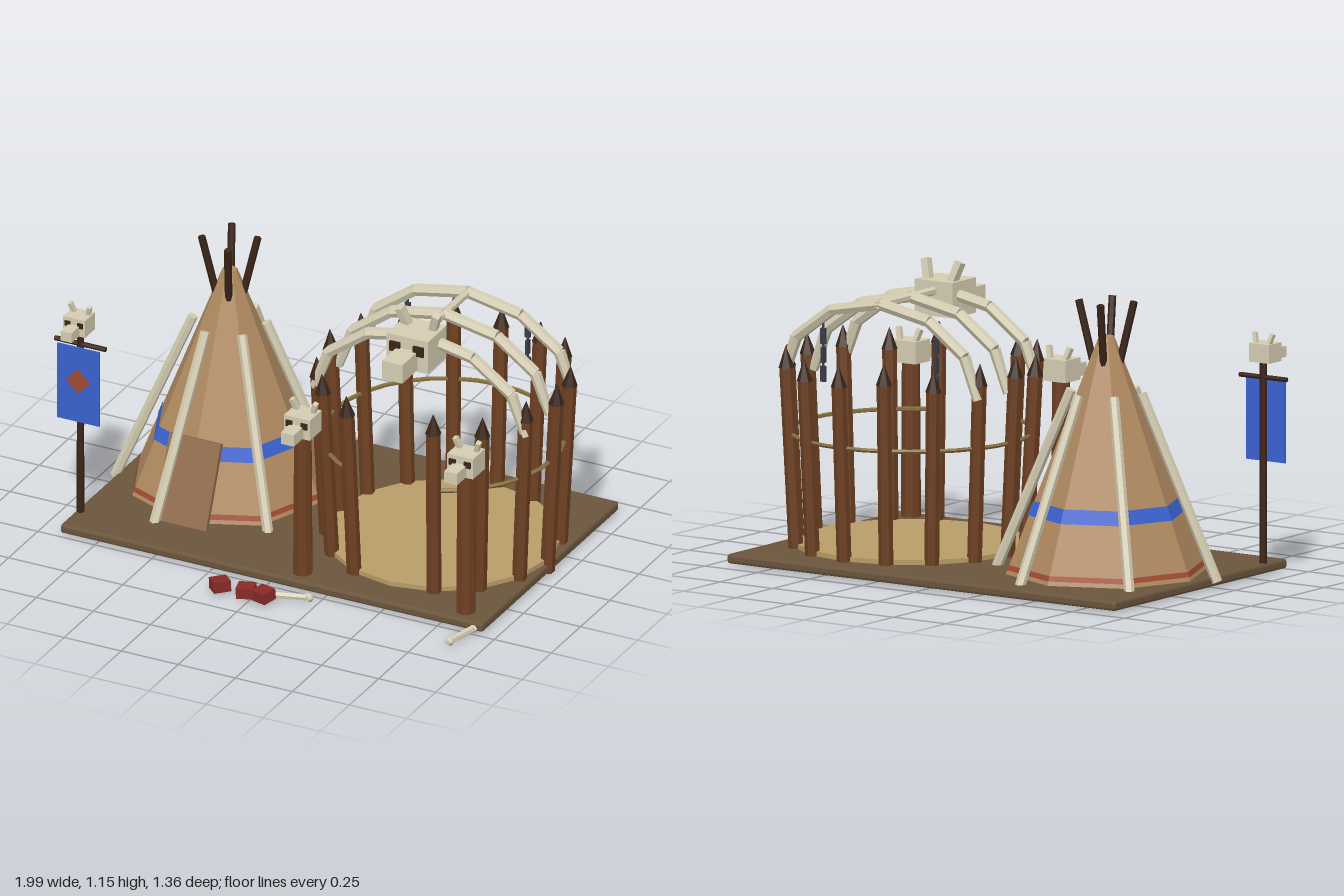
import * as THREE from 'three';
import { RoundedBoxGeometry } from 'three/addons/geometries/RoundedBoxGeometry.js';

const mat = (color) => new THREE.MeshStandardMaterial({ color, flatShading: true });
const M = {
  earth: mat(0x6b553c), sand: mat(0xb89c68), hide: mat(0xb08a60), flap: mat(0x8f6a4a),
  bone: mat(0xd4ccb2), wood: mat(0x6e4022), dark: mat(0x3a2418), blue: mat(0x3a62d0),
  rust: mat(0xa04a30), red: mat(0x862a28), rope: mat(0x86703f), iron: mat(0x3c3c46),
};
const V = (x, y, z) => new THREE.Vector3(x, y, z);
const UP = V(0, 1, 0);

export function createModel() {
  const root = new THREE.Group();

  function add(name, geo, material, pos = V(0, 0, 0), parent = root) {
    const m = new THREE.Mesh(geo, material);
    m.name = name;
    m.position.copy(pos);
    parent.add(m);
    return m;
  }
  const box = (name, w, h, d, material, pos, parent) =>
    add(name, new THREE.BoxGeometry(w, h, d), material, pos, parent);

  // Tapered rod between two points
  function rod(name, a, b, ra, rb, material, sides = 6, parent = root) {
    const dir = b.clone().sub(a);
    const m = add(name, new THREE.CylinderGeometry(rb, ra, dir.length(), sides), material,
      a.clone().add(b).multiplyScalar(0.5), parent);
    m.quaternion.setFromUnitVectors(UP, dir.normalize());
    return m;
  }
  function group(name, pos = V(0, 0, 0)) {
    const g = new THREE.Group();
    g.name = name;
    g.position.copy(pos);
    root.add(g);
    return g;
  }

  // Ground slab and sand floor
  add('base', new RoundedBoxGeometry(1.85, 0.038, 1.17, 1, 0.01), M.earth, V(0.015, 0.029, -0.1));
  const C = V(0.47, 0, -0.1);
  add('sandFloor', new THREE.CylinderGeometry(0.46, 0.46, 0.03, 16), M.sand, V(C.x, 0.052, C.z));

  // Tent: eight-sided hide cone with painted bands
  const tent = group('tent', V(-0.49, 0, -0.145));
  const y0 = 0.045, y1 = 0.98, r0 = 0.4, r1 = 0.03;
  const coneR = (y) => r0 + (r1 - r0) * (y - y0) / (y1 - y0);
  add('tentHide', new THREE.CylinderGeometry(r1, r0, y1 - y0, 8), M.hide, V(0, (y0 + y1) / 2, 0), tent);
  for (const [name, a, b, m] of [['blueBand', 0.28, 0.335, M.blue], ['redBand', 0.065, 0.085, M.rust]]) {
    add(name, new THREE.CylinderGeometry(coneR(b) + 0.005, coneR(a) + 0.005, b - a, 8, 1, true), m,
      V(0, (a + b) / 2, 0), tent);
  }
  const flap = box('doorFlap', 0.225, 0.35, 0.02, M.flap, V(0, 0.205, 0.35), tent);
  flap.rotation.x = -Math.atan((r0 - r1) / (y1 - y0));
  // Dark poles through the smoke hole
  for (const [x, z] of [[-0.1, 0.045], [-0.045, -0.105], [0.1, -0.045], [0.045, 0.105]]) {
    rod('tentPole', V(x * 0.45, 0.86, z * 0.45), V(x, 1.12, z), 0.015, 0.015, M.dark, 6, tent);
  }
  // Bones leaning against the hide
  for (let i = 0; i < 6; i++) {
    const a = THREE.MathUtils.degToRad(43.5 + 60 * i), c = Math.cos(a), s = Math.sin(a);
    rod('leaningBone', V(c * 0.455, 0.03, s * 0.455), V(c * 0.145, 0.76, s * 0.145), 0.021, 0.02, M.bone, 6, tent);
  }

  // Palisade of sharpened stakes, open at the front
  for (let i = 1; i < 16; i++) {
    const a = (i / 16) * Math.PI * 2, s = Math.sin(a), c = Math.cos(a);
    const h = 0.835 + 0.015 * Math.sin(i * 2.3);
    const at = (y) => { const r = 0.455 + 0.043 * y / 0.84; return V(C.x + s * r, y, C.z + c * r); };
    rod('stake', at(0.01), at(h - 0.085), 0.029, 0.029, M.wood);
    rod('stakeTip', at(h - 0.085), at(h), 0.032, 0.001, M.dark);
  }
  // Rope tied around the stakes
  const gap = Math.PI / 8;
  const rope = add('rope', new THREE.TorusGeometry(0.475, 0.009, 5, 28, Math.PI * 2 - 2 * gap), M.rope, V(C.x, 0.5, C.z));
  rope.rotation.set(-Math.PI / 2, 0, -Math.PI / 2 + gap);

  // Rib arches and the ridge bone
  for (const z of [0.1, -0.105, -0.31]) {
    const pt = (k) => {
      const a = k * Math.PI / 6;
      return V(C.x + 0.462 * Math.cos(a), 0.695 + 0.335 * Math.sin(a), z);
    };
    for (let k = 0; k < 6; k++) {
      const tip = k === 0 ? 0.019 : 0.024, end = k === 5 ? 0.019 : 0.024;
      rod('ribArch', pt(k), pt(k + 1), tip, end, M.bone);
    }
  }
  rod('ridgeBone', V(C.x, 1.03, 0.12), V(C.x, 1.03, -0.33), 0.017, 0.017, M.bone);

  // Hanging chains
  for (const [x, z] of [[0.205, -0.31], [0.7, -0.37]]) {
    const chain = group('chain', V(x, 0, z));
    rod('chainCore', V(0, 0.71, 0), V(0, 0.94, 0), 0.005, 0.005, M.iron, 5, chain);
    [0.89, 0.815, 0.74].forEach((y, i) => {
      box('chainLink', i % 2 ? 0.012 : 0.022, 0.062, i % 2 ? 0.022 : 0.014, M.iron, V(0, y, 0), chain);
    });
  }

  // Horned skull, built at full size and scaled
  function skull(pos, size) {
    const g = group('skull', pos);
    g.scale.setScalar(size);
    box('cranium', 0.18, 0.14, 0.16, M.bone, V(0, 0, 0), g);
    box('snout', 0.09, 0.08, 0.13, M.bone, V(0, -0.022, 0.145), g);
    for (const s of [-1, 1]) {
      box('eye', 0.045, 0.04, 0.02, M.dark, V(s * 0.052, 0.022, 0.082), g);
      const horn = box('horn', 0.03, 0.09, 0.035, M.bone, V(s * 0.068, 0.1, -0.025), g);
      horn.rotation.set(0.25, 0, -s * 0.3);
    }
  }
  skull(V(C.x, 1.0, 0.13), 1);

  // Gate posts with skulls
  for (const x of [0.115, 0.83]) {
    rod('gatePost', V(x, 0.02, 0.41), V(x, 0.67, 0.41), 0.04, 0.036, M.wood, 8);
    skull(V(x, 0.705, 0.41), 0.63);
  }

  // Banner on a pole
  const bx = -0.89, bz = 0.35;
  rod('bannerPole', V(bx, 0.03, bz), V(bx, 0.85, bz), 0.015, 0.014, M.dark);
  rod('bannerCrossbar', V(bx - 0.112, 0.785, bz), V(bx + 0.112, 0.785, bz), 0.01, 0.01, M.dark);
  box('bannerCloth', 0.185, 0.325, 0.008, M.blue, V(bx, 0.613, bz + 0.017));
  box('bannerDiamond', 0.073, 0.073, 0.006, M.rust, V(bx, 0.63, bz + 0.022)).rotation.z = Math.PI / 4;
  skull(V(bx, 0.883, 0.362), 0.53);

  // Loose bones and red chunks lying in front
  for (const [a, b] of [[V(0.075, 0.02, 0.585), V(0.21, 0.02, 0.543)], [V(0.9, 0.02, 0.48), V(0.865, 0.02, 0.62)]]) {
    rod('looseBone', a, b, 0.015, 0.013, M.bone);
    for (const p of [a, b]) add('boneKnob', new THREE.IcosahedronGeometry(0.02, 0), M.bone, p);
  }
  [[-0.135, 0.8], [-0.02, 0.25], [0.055, -0.3]].forEach(([x, turn], i) => {
    const m = box('redChunk', 0.07, 0.045, 0.065, M.red, V(x, 0.037, 0.63));
    m.rotation.set(0.08 * (i - 1), turn, 0.06);
  });

  return root;
}
